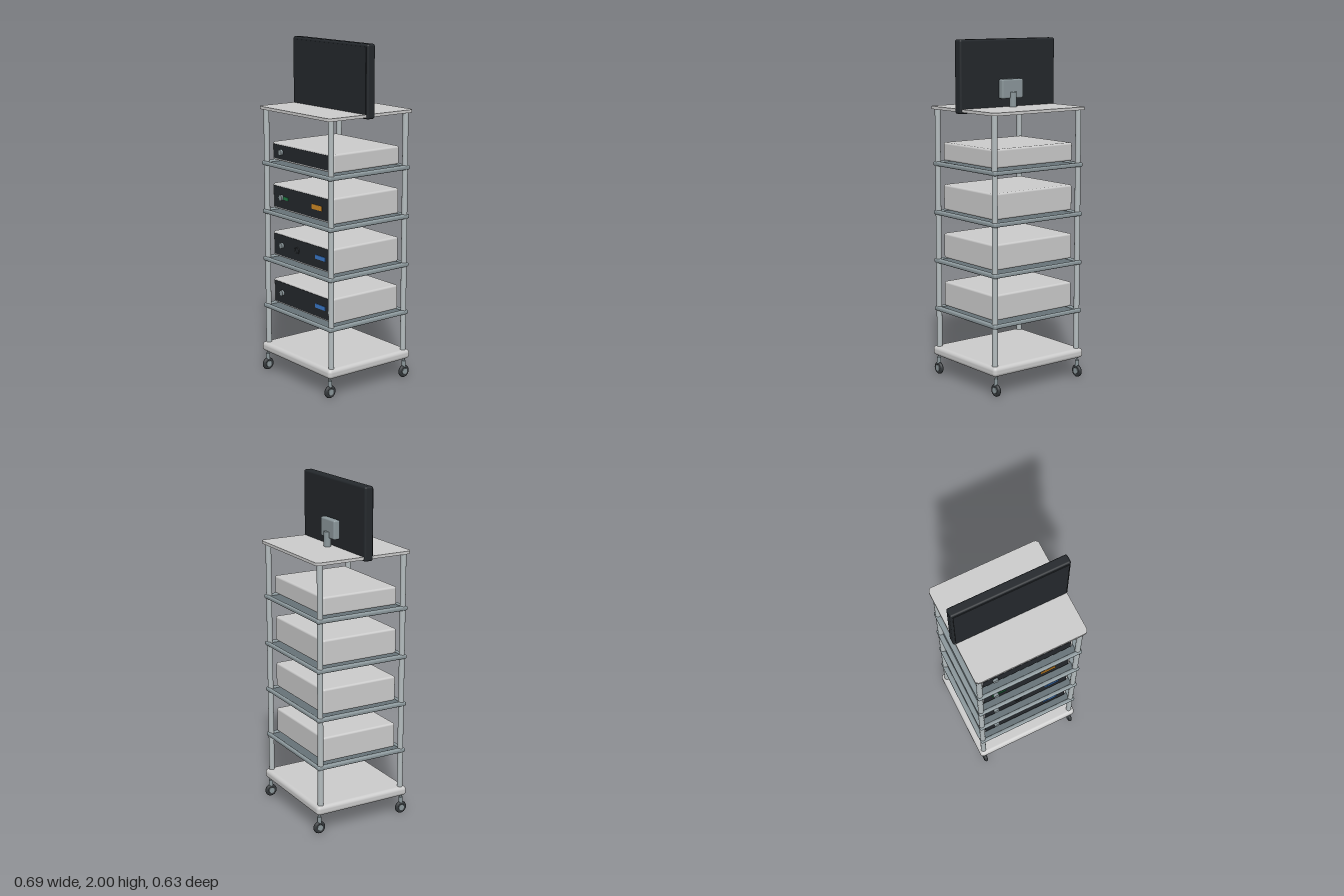
import * as THREE from 'three';
import { RoundedBoxGeometry } from 'three/addons/geometries/RoundedBoxGeometry.js';

const paint = (color) => new THREE.MeshStandardMaterial({ color });
const grey = paint(0xcccccc);
const steel = paint(0xb4bcbe);
const slate = paint(0x8b979b);
const deckGrey = paint(0x667277);
const black = paint(0x24282c);
const rubber = paint(0x33373a);
const blue = paint(0x3a78c8);
const green = paint(0x238048);
const orange = paint(0xd08a25);

function add(parent, name, geometry, material, x = 0, y = 0, z = 0) {
  const mesh = new THREE.Mesh(geometry, material);
  mesh.name = name;
  mesh.position.set(x, y, z);
  parent.add(mesh);
  return mesh;
}

const rounded = (w, h, d, r) => new RoundedBoxGeometry(w, h, d, 4, r);
const rod = (r, h) => new THREE.CylinderGeometry(r, r, h, 24);

// Flat plate with rounded plan corners, from y = 0 up to y = h
function plate(w, d, h, r) {
  const x = w / 2, z = d / 2;
  const s = new THREE.Shape();
  s.moveTo(-x + r, -z);
  s.lineTo(x - r, -z);
  s.absarc(x - r, -z + r, r, -Math.PI / 2, 0);
  s.absarc(x - r, z - r, r, 0, Math.PI / 2);
  s.absarc(-x + r, z - r, r, Math.PI / 2, Math.PI);
  s.absarc(-x + r, -z + r, r, Math.PI, Math.PI * 1.5);
  const g = new THREE.ExtrudeGeometry(s, { depth: h, bevelEnabled: false, curveSegments: 8 });
  return g.rotateX(-Math.PI / 2);
}

// Swivel caster, wheel rolling along z
function caster(x, z) {
  const g = new THREE.Group();
  g.name = 'caster';
  g.position.set(x, 0, z);
  add(g, 'casterPin', rod(0.007, 0.06), slate, 0, 0.1, 0);
  add(g, 'casterStem', rod(0.012, 0.035), slate, 0, 0.087, 0);
  const tyre = new THREE.TorusGeometry(0.026, 0.0115, 12, 32).rotateY(Math.PI / 2);
  add(g, 'tyre', tyre, rubber, 0, 0.0385, 0);
  add(g, 'wheelHub', rod(0.018, 0.024).rotateZ(Math.PI / 2), slate, 0, 0.0385, 0);
  return g;
}

// Shelf with a rim rail on all four sides
function shelf(y) {
  const g = new THREE.Group();
  g.name = 'shelf';
  g.position.y = y;
  add(g, 'shelfDeck', new THREE.BoxGeometry(0.62, 0.014, 0.56), deckGrey, 0, -0.003, 0);
  for (const s of [-1, 1]) {
    add(g, 'sideRail', rounded(0.03, 0.026, 0.59, 0.01), slate, s * 0.31, 0, 0);
    add(g, 'endRail', rounded(0.64, 0.024, 0.022, 0.009), slate, 0, 0, s * 0.283);
  }
  return g;
}

// Equipment case with a dark fascia, knob and coloured indicators
function unit({ y0, y1, lights = [], ring }) {
  const g = new THREE.Group();
  g.name = 'equipmentUnit';
  g.position.y = (y0 + y1) / 2;
  const h = y1 - y0;
  add(g, 'case', rounded(0.58, h, 0.48, 0.012), grey);
  add(g, 'fascia', new THREE.BoxGeometry(0.545, h - 0.024, 0.01), black, 0, 0, 0.238);
  add(g, 'knob', rod(0.017, 0.016).rotateX(Math.PI / 2), slate, -0.196, 0, 0.249);
  for (const [x, w, lh, mat] of lights) {
    add(g, 'indicator', new THREE.BoxGeometry(w, lh, 0.006), mat, x, 0, 0.243);
  }
  if (ring) add(g, 'socketRing', new THREE.TorusGeometry(0.019, 0.003, 8, 32), rubber, -0.05, 0, 0.244);
  return g;
}

export function createModel() {
  const cart = new THREE.Group();
  cart.name = 'equipmentCart';

  // Base, worktop, posts and casters
  add(cart, 'base', rounded(0.67, 0.057, 0.61, 0.022), grey, 0, 0.1485, 0);
  add(cart, 'worktop', plate(0.67, 0.61, 0.017, 0.025), grey, 0, 1.595, 0);
  for (const x of [-0.305, 0.305]) {
    for (const z of [-0.27, 0.27]) {
      add(cart, 'post', rod(0.0165, 1.43), steel, x, 0.883, z);
      cart.add(caster(x, Math.sign(z) * 0.279));
    }
  }

  // Shelves and the equipment standing on them
  for (const y of [0.408, 0.698, 0.987, 1.276]) cart.add(shelf(y));
  const blueLight = [0.172, 0.095, 0.024, blue];
  const units = [
    { y0: 0.428, y1: 0.577, lights: [blueLight] },
    { y0: 0.718, y1: 0.867, lights: [blueLight], ring: true },
    { y0: 1.006, y1: 1.156, lights: [[-0.175, 0.09, 0.018, green], [0.14, 0.092, 0.028, orange]] },
    { y0: 1.296, y1: 1.403 },
  ];
  for (const u of units) cart.add(unit(u));

  // Monitor on a short rear stand
  const monitor = new THREE.Group();
  monitor.name = 'monitor';
  add(monitor, 'monitorBody', rounded(0.69, 0.415, 0.056, 0.012), black, 0, 1.7925, 0.018);
  add(monitor, 'screen', new THREE.BoxGeometry(0.665, 0.385, 0.006), black, 0, 1.7925, 0.047);
  add(monitor, 'mountBlock', rounded(0.154, 0.112, 0.04, 0.01), slate, 0, 1.716, -0.03);
  add(monitor, 'standNeck', rod(0.021, 0.09), slate, 0, 1.653, -0.048);
  cart.add(monitor);

  return cart;
}
